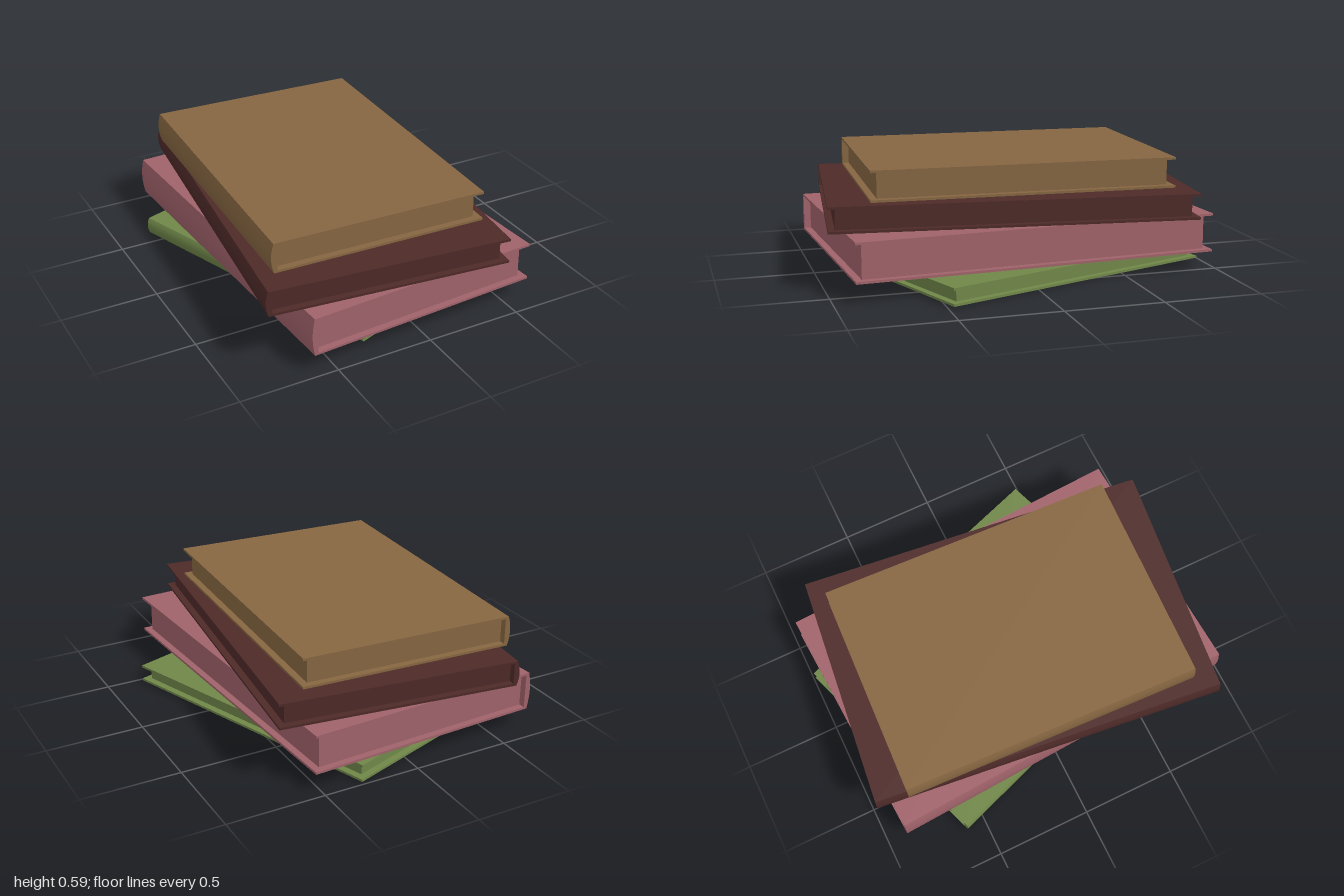
import * as THREE from 'three';
import { toCreasedNormals } from 'three/addons/utils/BufferGeometryUtils.js';

const COVER = 0.012;  // board thickness
const BULGE = 0.013;  // how far the rounded spine swells
const SPINE = 0.03;   // spine thickness at its middle
const INSET = 0.035;  // pages set back from the cover edges
const TILT = 0.006;   // the stack leans slightly towards the spines

// Cover and spine as one C-shaped section, spine at -x
function coverGeometry(w, h, length) {
  const l = -w / 2, r = w / 2;
  const s = new THREE.Shape();
  s.moveTo(l + BULGE, 0);
  s.lineTo(r, 0);
  s.lineTo(r, COVER);
  s.lineTo(l + SPINE, COVER);
  s.lineTo(l + SPINE, h - COVER);
  s.lineTo(r, h - COVER);
  s.lineTo(r, h);
  s.lineTo(l + BULGE, h);
  s.quadraticCurveTo(l - BULGE, h / 2, l + BULGE, 0);
  const geo = new THREE.ExtrudeGeometry(s, { depth: length, bevelEnabled: false, curveSegments: 12 });
  geo.translate(0, 0, -length / 2);
  return toCreasedNormals(geo, 0.5);
}

function makeBook({ name, color, w, h, length, x, y, z, turn }) {
  const book = new THREE.Group();
  book.name = name;
  const material = new THREE.MeshStandardMaterial({ color });

  const cover = new THREE.Mesh(coverGeometry(w, h, length), material);
  cover.name = 'coverAndSpine';

  // Page block between the boards
  const pageWidth = w - SPINE - INSET;
  const pages = new THREE.Mesh(
    new THREE.BoxGeometry(pageWidth, h - 2 * COVER, length - 2 * INSET), material);
  pages.name = 'pages';
  pages.position.set(-w / 2 + SPINE + pageWidth / 2, h / 2, 0);

  book.add(cover, pages);
  book.position.set(x, y + TILT * w / 2, z);
  book.rotation.set(0, turn, TILT);
  // yaw applied after the lean
  book.rotation.order = 'YXZ';
  return book;
}

export function createModel() {
  const stack = new THREE.Group();
  stack.name = 'bookStack';
  const books = [
    { name: 'greenBook', color: 0x6f8648, w: 1.18, h: 0.089, length: 1.55, x: 0, y: 0.001, z: -0.063, turn: 0.338 },
    { name: 'pinkBook', color: 0xa0626a, w: 1.252, h: 0.2, length: 1.863, x: -0.043, y: 0.092, z: 0, turn: 0.057 },
    { name: 'darkRedBook', color: 0x4d2a28, w: 1.238, h: 0.131, length: 1.842, x: -0.07, y: 0.293, z: 0.005, turn: -0.114 },
    { name: 'brownBook', color: 0x866641, w: 1.122, h: 0.156, length: 1.55, x: -0.105, y: 0.43, z: -0.02, turn: -0.045 },
  ];
  for (const b of books) stack.add(makeBook(b));
  return stack;
}
